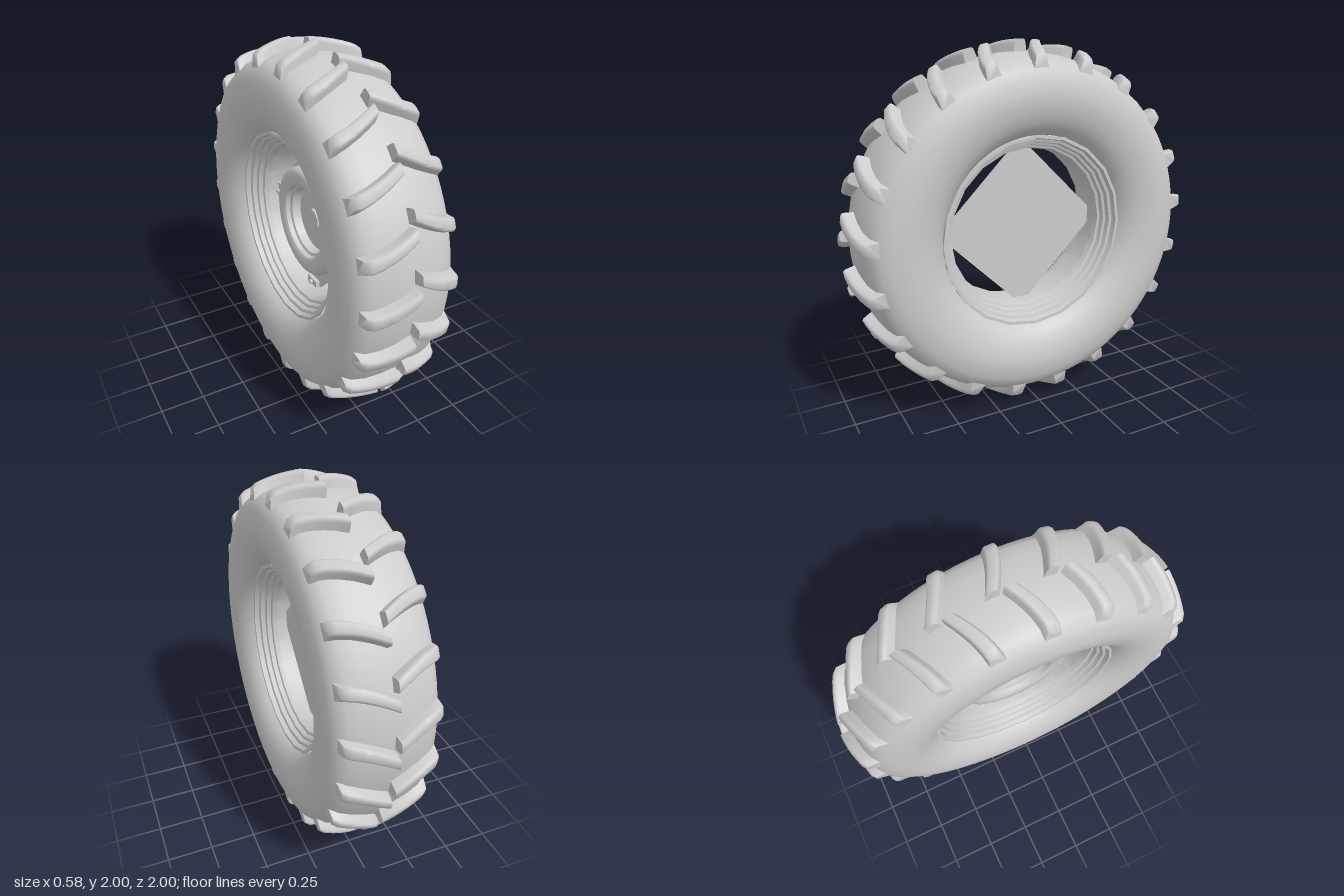
import * as THREE from 'three';
import { toCreasedNormals } from 'three/addons/utils/BufferGeometryUtils.js';

const LUGS = 21;
const mat = new THREE.MeshStandardMaterial({ color: 0xcccccc });
const thin = new THREE.MeshStandardMaterial({ color: 0xcccccc, side: THREE.DoubleSide });

// Revolve [radius, x] points about the wheel axle (x)
function revolve(name, pts, sides, crease) {
  let g = new THREE.LatheGeometry(pts.map(([r, x]) => new THREE.Vector2(r, x)), sides);
  g.rotateZ(-Math.PI / 2);
  if (crease) g = toCreasedNormals(g, crease);
  const m = new THREE.Mesh(g, thin);
  m.name = name;
  return m;
}

// Profile running from -x to +x, mirrored about the centre plane
const mirrored = half => [...half.map(([r, x]) => [r, -x]), ...half.slice(0, -1).reverse()];

// One curved tread bar with rounded edges, from the centre line out to the +x shoulder
function lugGeometry() {
  const steps = 10, pos = [], idx = [], n = 8;
  for (let i = 0; i <= steps; i++) {
    const u = i / steps;
    const phi = 0.1 * Math.pow(1 - u, 1.5);
    const top = 1 - 0.012 * u - 0.043 * u * u - (i === steps ? 0.01 : 0);
    const base = 0.91 - 0.045 * u * u;
    const w = (0.032 + 0.007 * u) * (i === steps ? 0.9 : 1);
    const section = [[-1.35, base], [-1, top - 0.022], [-0.87, top - 0.007], [-0.6, top],
      [0.6, top], [0.87, top - 0.007], [1, top - 0.022], [1.35, base]];
    section.forEach(([a, r]) => pos.push(
      0.244 * u + (r === base ? 0.008 * u : 0),
      r * Math.sin(phi + a * w), r * Math.cos(phi + a * w)));
  }
  for (let i = 0; i < steps; i++) {
    for (let j = 0; j < n - 1; j++) {
      const a = i * n + j, b = a + n;
      idx.push(a, b, b + 1, a, b + 1, a + 1);
    }
  }
  const e = steps * n;
  for (let j = 1; j < n - 1; j++) {
    idx.push(0, j, j + 1);
    idx.push(e, e + j + 1, e + j);
  }
  const g = new THREE.BufferGeometry();
  g.setAttribute('position', new THREE.Float32BufferAttribute(pos, 3));
  g.setIndex(idx);
  return toCreasedNormals(g, 0.95);
}

export function createModel() {
  const wheel = new THREE.Group();
  wheel.name = 'tractorWheel';
  wheel.position.y = 1;

  // Tyre carcass
  wheel.add(revolve('tyre', mirrored([
    [0.528, 0.185], [0.54, 0.205], [0.565, 0.232], [0.6, 0.256], [0.65, 0.277], [0.71, 0.288],
    [0.76, 0.287], [0.82, 0.274], [0.87, 0.252], [0.902, 0.21], [0.922, 0.145], [0.934, 0.07],
    [0.938, 0]]), 80));

  // Tread bars, staggered from side to side
  const lug = lugGeometry();
  for (const side of [1, -1]) {
    const tread = new THREE.Group();
    tread.name = side > 0 ? 'leftTread' : 'rightTread';
    for (let i = 0; i < LUGS; i++) {
      const m = new THREE.Mesh(lug, thin);
      m.name = 'treadBar';
      m.scale.x = side;
      m.rotation.x = -(i / LUGS) * Math.PI * 2 - (side > 0 ? 0.07 : -0.02);
      tread.add(m);
    }
    wheel.add(tread);
  }

  // Stepped rim
  wheel.add(revolve('rim', mirrored([
    [0.532, 0.2], [0.515, 0.2], [0.508, 0.172], [0.492, 0.167], [0.486, 0.142], [0.472, 0.137],
    [0.466, 0.112], [0.452, 0.107], [0.444, 0.08], [0.444, 0]]), 20, 0.4));

  // Diamond centre plate with clipped corners
  const shape = new THREE.Shape();
  const a = 0.437, b = 0.05;
  [[a, -b], [a, b], [b, a], [-b, a], [-a, b], [-a, -b], [-b, -a], [b, -a]]
    .forEach(([x, y], i) => (i ? shape.lineTo(x, y) : shape.moveTo(x, y)));
  const plateGeo = new THREE.ExtrudeGeometry(shape, { depth: 0.02, bevelEnabled: false });
  plateGeo.rotateY(Math.PI / 2);
  const plate = new THREE.Mesh(plateGeo, mat);
  plate.name = 'centrePlate';
  wheel.add(plate);

  // Raised hub ring on the -x face
  wheel.add(revolve('hubRing', [
    [0.315, 0.005], [0.312, -0.06], [0.3, -0.082], [0.28, -0.09], [0.228, -0.09], [0.212, -0.08],
    [0.206, -0.055], [0.19, -0.05], [0.184, 0.005]], 40, 0.7));

  // Small bolted boss in the middle
  const addCylinder = (name, r, depth, x, dist, t, sides) => {
    const g = new THREE.CylinderGeometry(r, r, depth, sides);
    g.rotateZ(Math.PI / 2);
    const m = new THREE.Mesh(g, mat);
    m.name = name;
    m.position.set(x, dist * Math.sin(t), dist * Math.cos(t));
    wheel.add(m);
  };
  addCylinder('hubBoss', 0.06, 0.02, -0.008, 0, 0, 20);

  // Rim clamps at the four plate corners
  for (let i = 0; i < 4; i++) {
    const t = i * Math.PI / 2;
    const clamp = new THREE.Mesh(new THREE.BoxGeometry(0.025, 0.1, 0.04), mat);
    clamp.name = 'rimClamp';
    clamp.position.set(-0.01, 0.415 * Math.sin(t), 0.415 * Math.cos(t));
    clamp.rotation.x = -t;
    wheel.add(clamp);
    addCylinder('clampBolt', 0.013, 0.02, -0.03, 0.415, t, 6);
  }

  const model = new THREE.Group();
  model.name = 'model';
  model.add(wheel);
  return model;
}
